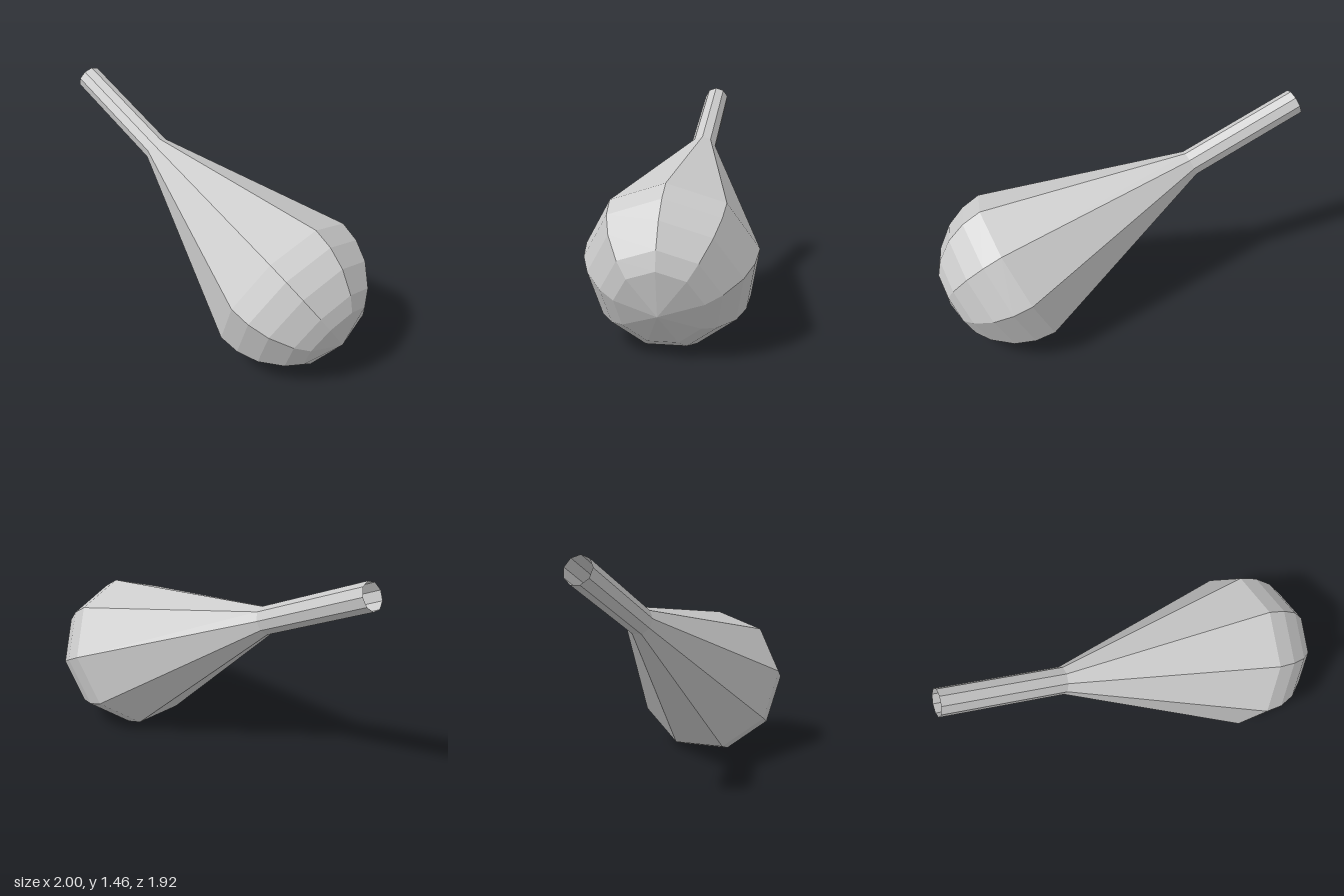
import * as THREE from 'three';

export function createModel() {
  const group = new THREE.Group();
  group.name = 'flask';
  const material = new THREE.MeshStandardMaterial({
    color: 0xcccccc, flatShading: true, side: THREE.DoubleSide,
  });
  const sides = 9;
  const radius = 0.532;

  // Each part is a nine-sided lathe along the shared local y axis
  const addPart = (name, points) => {
    const profile = points.map(([r, y]) => new THREE.Vector2(r, y));
    const mesh = new THREE.Mesh(new THREE.LatheGeometry(profile, sides), material);
    mesh.name = name;
    group.add(mesh);
  };

  // Thin open tube and the cone that widens to the bulb
  addPart('neck', [[0.088, -2.127], [0.09, -1.323]]);
  addPart('shoulder', [[0.09, -1.323], [radius, 0]]);

  // Faceted half-sphere end, rings given by their angle from the pole
  addPart('bulb', [90, 75.5, 60, 42, 29.5, 0].map((deg) => {
    const a = THREE.MathUtils.degToRad(deg);
    return [radius * Math.sin(a), radius * Math.cos(a)];
  }));

  // Tilt the axis down towards the front left, with one corner line on top
  const axis = new THREE.Vector3(0.663, -0.411, 0.626).normalize();
  const top = new THREE.Vector3(0, 1, 0).addScaledVector(axis, -axis.y).normalize();
  const side = new THREE.Vector3().crossVectors(axis, top);
  group.quaternion.setFromRotationMatrix(new THREE.Matrix4().makeBasis(side, axis, top));
  group.position.set(0.477, 0.512, 0.435);

  const model = new THREE.Group();
  model.name = 'model';
  model.add(group);
  return model;
}
